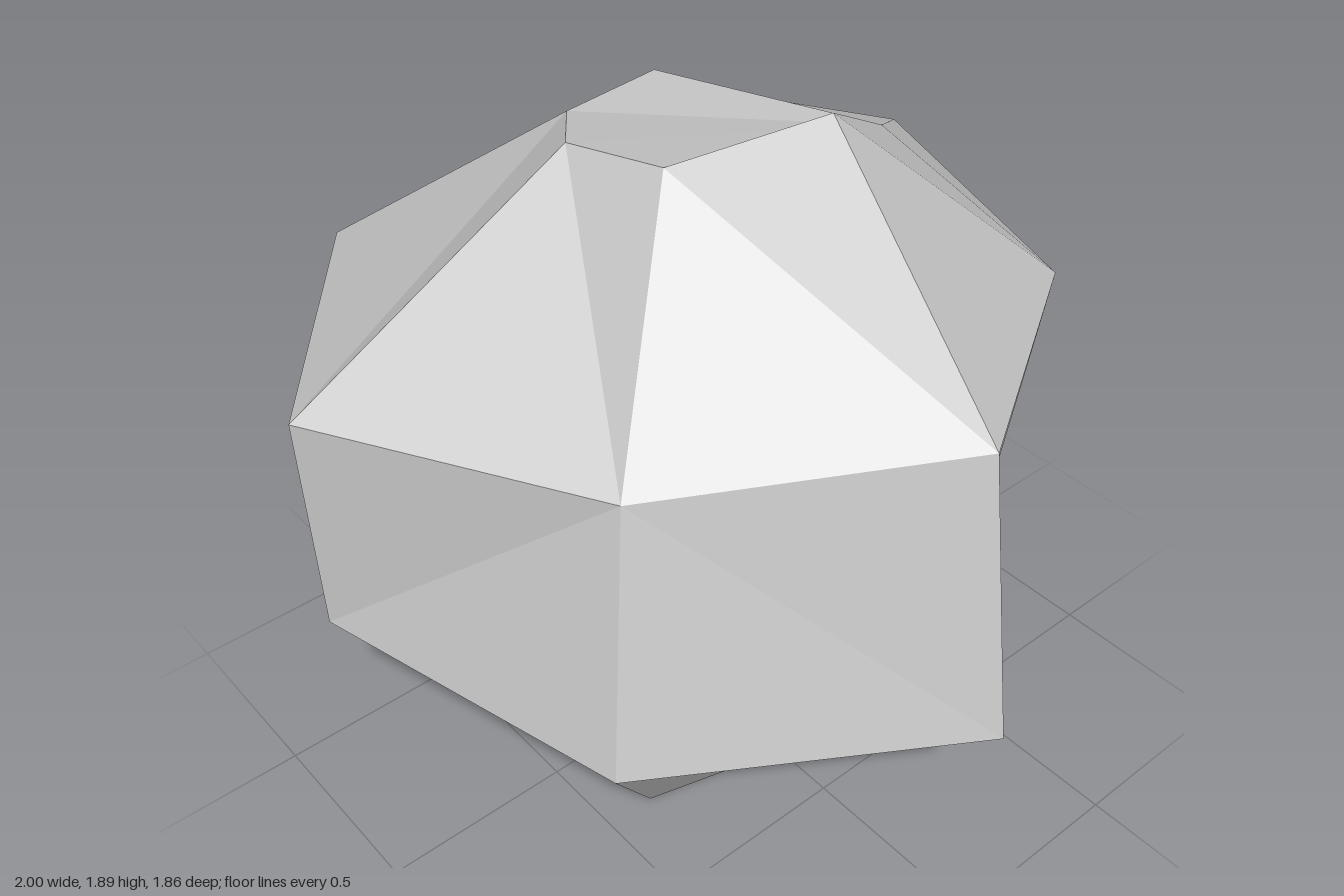
import * as THREE from 'three';

// Four seven-sided rings from top to bottom, running from +x round through +z
const rings = [
  [[0.36, 1.895, -0.045], [0.13, 1.765, 0.21], [-0.15, 1.725, 0.255], [-0.37, 1.66, 0.09],
    [-0.43, 1.645, -0.22], [-0.15, 1.625, -0.36], [0.185, 1.685, -0.38]],
  [[0.88, 1.335, -0.045], [0.405, 1.222, 0.56], [-0.3, 1.205, 0.932], [-1, 1.165, 0.4],
    [-0.955, 1.12, -0.47], [-0.28, 1.33, -0.932], [0.465, 1.285, -0.725]],
  [[1, 0.585, -0.045], [0.485, 0.513, 0.663], [-0.3, 0.598, 0.922], [-0.895, 0.553, 0.36],
    [-0.94, 0.495, -0.44], [-0.27, 0.583, -0.842], [0.405, 0.588, -0.66]],
  [[0.53, 0.235, -0.045], [0.272, 0.062, 0.4], [-0.19, 0.197, 0.435], [-0.6, 0, 0.21],
    [-0.48, 0.24, -0.235], [-0.185, 0.18, -0.465], [0.21, 0.178, -0.415]],
].map((ring) => ring.map((p) => new THREE.Vector3(...p)));

function rockGeometry() {
  const points = [];
  const n = rings[0].length;

  // Faceted bands between neighbouring rings
  for (let r = 0; r < rings.length - 1; r++) {
    for (let i = 0; i < n; i++) {
      const j = (i + 1) % n;
      const a = rings[r][i], b = rings[r][j];
      const c = rings[r + 1][j], d = rings[r + 1][i];
      // The middle band folds along its shorter diagonal, the others one way round
      if (r === 1 && a.distanceTo(c) < b.distanceTo(d)) points.push(a, b, c, a, c, d);
      else points.push(a, b, d, b, c, d);
    }
  }

  // Caps fan out from one corner of the end rings
  const top = rings[0], bottom = rings[3];
  for (let i = 0; i < n - 2; i++) points.push(top[n - 1], top[i + 1], top[i]);
  for (let i = 1; i < n - 1; i++) points.push(bottom[0], bottom[i], bottom[i + 1]);

  const geometry = new THREE.BufferGeometry().setFromPoints(points);
  geometry.computeVertexNormals(); // unshared corners give flat facets
  return geometry;
}

export function createModel() {
  const stone = new THREE.MeshStandardMaterial({ color: 0xcccccc });
  stone.name = 'stone grey';

  const rock = new THREE.Mesh(rockGeometry(), stone);
  rock.name = 'rock';

  const model = new THREE.Group();
  model.name = 'boulder';
  model.add(rock);
  return model;
}
